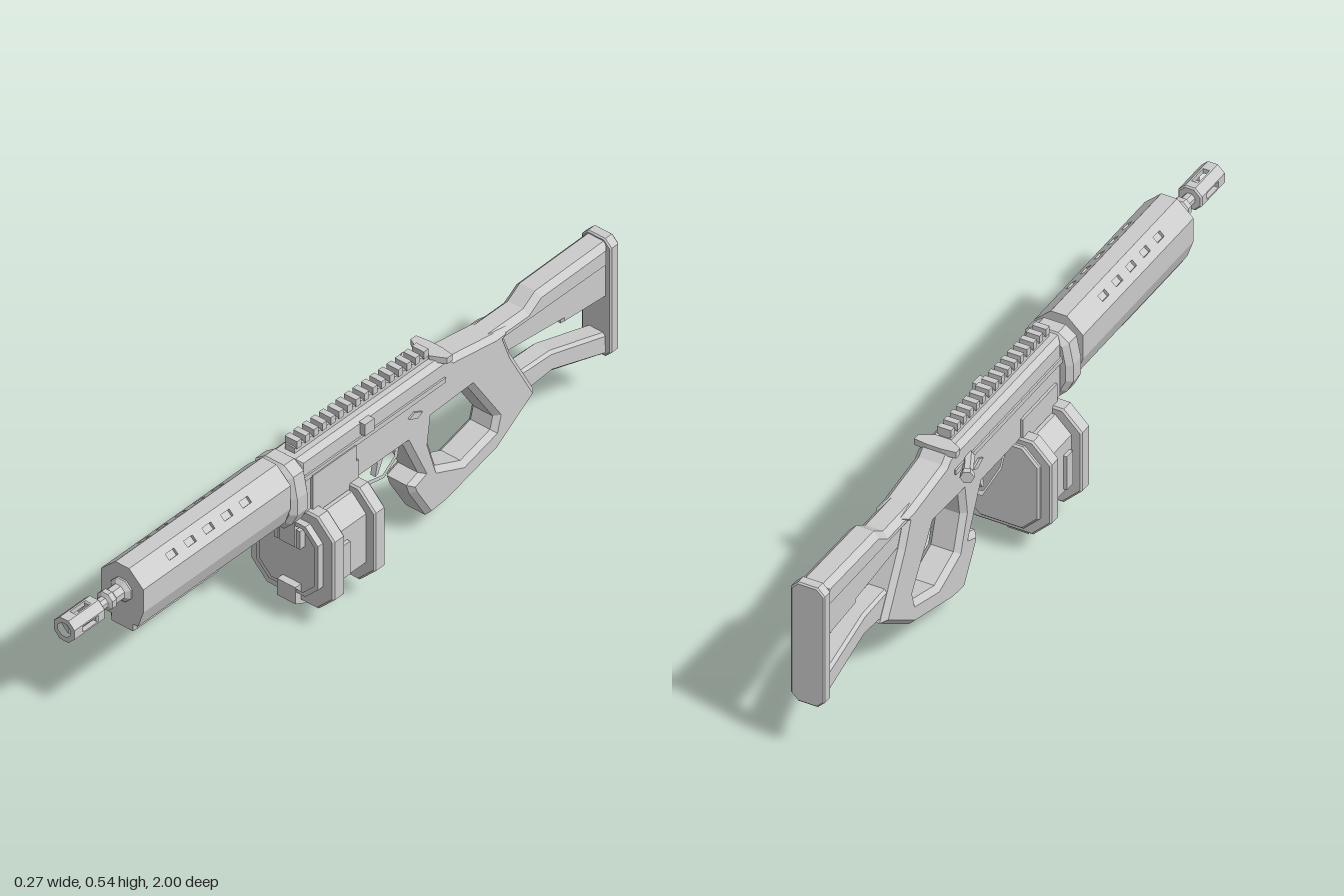
import * as THREE from 'three';

const material = new THREE.MeshStandardMaterial({ color: 0xcccccc, flatShading: true });

export function createModel() {
  const model = new THREE.Group();

  function add(name, geometry, parent = model) {
    const mesh = new THREE.Mesh(geometry, material);
    mesh.name = name;
    parent.add(mesh);
    return mesh;
  }
  function toShape(points, hole) {
    const shape = new THREE.Shape(points.map(p => new THREE.Vector2(p[0], p[1])));
    if (hole) shape.holes.push(new THREE.Path(hole.map(p => new THREE.Vector2(p[0], p[1]))));
    return shape;
  }
  function extrude(shape, depth, bevel = 0) {
    return new THREE.ExtrudeGeometry(shape, {
      depth: depth - 2 * bevel, bevelEnabled: bevel > 0, bevelThickness: bevel,
      bevelSize: bevel, bevelOffset: -bevel, bevelSegments: 1,
    }).translate(0, 0, bevel);
  }
  // Side outline in [z, y], given thickness across x
  function side(name, points, half, bevel = 0, hole) {
    const g = extrude(toShape(points, hole), half * 2, bevel);
    return add(name, g.translate(0, 0, -half).rotateY(-Math.PI / 2));
  }
  // Cross-section in [x, y] swept along z
  function section(name, points, z0, z1, bevel = 0, hole) {
    return add(name, extrude(toShape(points, hole), z1 - z0, bevel).translate(0, 0, z0));
  }
  const mirrored = pts => [...pts, ...pts.slice().reverse().map(([x, y]) => [-x, y])];
  const octagon = (h, y0, y1, c) =>
    mirrored([[h - c, y1], [h, y1 - c], [h, y0 + c], [h - c, y0]]);
  function box(name, w, h, d, x, y, z, parent) {
    return add(name, new THREE.BoxGeometry(w, h, d).translate(x, y, z), parent);
  }
  function mirrorX(mesh) {
    const copy = mesh.clone();
    copy.applyMatrix4(new THREE.Matrix4().makeScale(-1, 1, 1));
    model.add(copy);
  }

  // Barrel: stepped octagonal profile [radius, z]
  const barrel = [[0, 0.2], [0.034, 0.2], [0.034, 0.79], [0.022, 0.80], [0.022, 0.83],
    [0.027, 0.835], [0.027, 0.85], [0.016, 0.855], [0.016, 0.89], [0, 0.89]];
  add('barrel', new THREE.LatheGeometry(barrel.map(p => new THREE.Vector2(...p)), 8, Math.PI / 8)
    .rotateX(Math.PI / 2).scale(-1, -1, 1).translate(0, 0.45, 0));

  // Muzzle brake: two rings joined by four corner bars leaving side slots
  const R = 0.033, T = R * Math.tan(Math.PI / 8), bore = 0.019;
  const ring = r => octagon(r, 0.45 - r, 0.45 + r, r - r * Math.tan(Math.PI / 8));
  section('muzzleRearRing', ring(R), 0.885, 0.915, 0.004);
  section('muzzleFrontRing', ring(R), 0.968, 1.0, 0, ring(bore));
  for (let i = 0; i < 4; i++) {
    const bar = toShape([[R, 0.009], [R, T], [T, R], [0.009, R], [0.009, bore], [bore, 0.009]]);
    add('muzzleBar', extrude(bar, 0.06).rotateZ(i * Math.PI / 2).translate(0, 0.45, 0.911));
  }

  // Handguard core, recessed behind the vented upper panels
  section('handguard', mirrored([[0.022, 0.522], [0.022, 0.510], [0.055, 0.48], [0.067, 0.48],
    [0.067, 0.41], [0.05, 0.36]]), 0.24, 0.785);
  const vent = new THREE.Shape();
  const L = 0.2725, H = 0.031;
  [[-L, -H], [L, -H], [L, H], [-L, H]].forEach(([x, y], i) => i ? vent.lineTo(x, y) : vent.moveTo(x, y));
  for (let i = -2; i <= 2; i++) {
    const c = i * 0.068 - 0.005;
    vent.holes.push(new THREE.Path([[c - 0.016, -0.009], [c + 0.016, -0.009], [c + 0.016, 0.009],
      [c - 0.016, 0.009]].map(p => new THREE.Vector2(...p))));
  }
  const up = new THREE.Vector3(-0.045, 0.042, 0).normalize();
  const out = new THREE.Vector3(up.y, -up.x, 0);
  const panel = add('ventPanel', extrude(vent, 0.01).translate(0, 0, -0.01).applyMatrix4(
    new THREE.Matrix4().makeBasis(new THREE.Vector3(0, 0, -1), up, out).setPosition(0.0445, 0.501, 0.5125)));
  mirrorX(panel);
  side('lowerHandguard', [[0.785, 0.37], [0.785, 0.338], [0.48, 0.338], [0.45, 0.36], [0.45, 0.37]], 0.042, 0.008);

  // Collar between handguard and receiver
  section('collar', mirrored([[0.03, 0.512], [0.06, 0.49], [0.072, 0.43], [0.072, 0.38],
    [0.055, 0.345], [0.03, 0.32]]), 0.17, 0.235, 0.014);

  // Receiver and thumbhole grip in one outline
  side('receiverAndGrip', [[0.18, 0.508], [-0.375, 0.508], [-0.395, 0.49], [-0.55, 0.465], [-0.60, 0.46],
    [-0.585, 0.44], [-0.61, 0.375], [-0.70, 0.21], [-0.555, 0.115], [-0.365, 0.065], [-0.30, 0.06],
    [-0.24, 0.16], [-0.23, 0.19], [-0.272, 0.205], [-0.215, 0.325], [0.18, 0.325]], 0.045, 0.014,
    [[-0.315, 0.355], [-0.455, 0.36], [-0.55, 0.215], [-0.54, 0.18], [-0.43, 0.15],
      [-0.335, 0.19], [-0.305, 0.285]]);
  box('ejectionCover', 0.014, 0.055, 0.16, 0.046, 0.417, 0.06);
  box('shellDeflector', 0.03, 0.035, 0.035, 0.046, 0.48, -0.06);
  mirrorX(box('sideRidge', 0.01, 0.014, 0.53, 0.045, 0.447, -0.09));
  mirrorX(side('selector', [[-0.22, 0.405], [-0.24, 0.415], [-0.27, 0.40], [-0.25, 0.39]], 0.05));

  // Top rail with teeth
  box('railBase', 0.03, 0.02, 0.49, 0, 0.515, -0.08);
  for (let i = 0; i < 16; i++) box('railTooth', 0.038, 0.022, 0.017, 0, 0.532, 0.152 - i * 0.0313);

  // Charging handle and angled bolt knob
  add('chargingHandle', extrude(toShape(mirrored([[0.02, -0.33], [0.058, -0.35], [0.058, -0.37],
    [0.02, -0.375]])), 0.018).rotateX(Math.PI / 2).scale(1, 1, 1).translate(0, 0.52, 0));
  box('handleStem', 0.03, 0.014, 0.08, 0, 0.51, -0.32);
  const knob = new THREE.Group();
  knob.name = 'boltKnob';
  add('knobStem', new THREE.CylinderGeometry(0.012, 0.016, 0.08, 6), knob);
  add('knobCap', new THREE.CylinderGeometry(0.018, 0.018, 0.018, 6).translate(0, 0.04, 0), knob);
  knob.position.set(-0.06, 0.446, -0.315);
  knob.quaternion.setFromUnitVectors(new THREE.Vector3(0, 1, 0), new THREE.Vector3(-0.45, 0, -0.89).normalize());
  model.add(knob);

  // Stock
  side('stockTube', [[-0.53, 0.467], [-0.67, 0.467], [-0.715, 0.496], [-0.975, 0.50], [-0.975, 0.425],
    [-0.53, 0.425]], 0.04, 0.016);
  side('stockWeb', [[-0.57, 0.445], [-0.975, 0.445], [-0.975, 0.33], [-0.81, 0.342], [-0.81, 0.353],
    [-0.58, 0.377]], 0.03, 0.006);
  side('stockStrut', [[-0.64, 0.285], [-0.77, 0.282], [-0.975, 0.22], [-0.975, 0.155], [-0.77, 0.22],
    [-0.67, 0.212]], 0.03, 0.008);
  section('buttPad', octagon(0.047, 0.15, 0.507, 0.02), -1.0, -0.968, 0.004);

  // Trigger and guard
  side('triggerGuard', [[-0.035, 0.335], [-0.07, 0.262], [-0.165, 0.243], [-0.215, 0.28], [-0.225, 0.335]],
    0.016, 0, [[-0.05, 0.327], [-0.08, 0.273], [-0.16, 0.255], [-0.203, 0.287], [-0.21, 0.327]]);
  side('trigger', [[-0.14, 0.33], [-0.15, 0.29], [-0.142, 0.255], [-0.152, 0.257], [-0.168, 0.29],
    [-0.17, 0.33]], 0.008);

  // Magazine well and drum magazine
  box('magazineWell', 0.104, 0.07, 0.17, 0, 0.36, 0.055);
  box('magazineNeck', 0.08, 0.09, 0.17, 0, 0.32, 0.062);
  section('drumBody', octagon(0.105, 0.085, 0.322, 0.045), -0.02, 0.155);
  for (const [z0, z1] of [[0.115, 0.157], [-0.035, 0.005]])
    section('drumFlange', octagon(0.133, 0.063, 0.342, 0.052), z0, z1, 0.005);
  section('drumFrontRim', octagon(0.098, 0.1, 0.312, 0.04), 0.155, 0.175, 0, octagon(0.086, 0.11, 0.3, 0.036));
  section('drumBackPlate', octagon(0.105, 0.08, 0.325, 0.045), -0.046, -0.03, 0.005);
  mirrorX(box('drumRib', 0.02, 0.1, 0.03, 0.105, 0.19, 0.09));
  box('feedBlock', 0.05, 0.09, 0.022, 0, 0.28, 0.165);
  mirrorX(box('feedSide', 0.012, 0.055, 0.02, 0.035, 0.262, 0.165));
  side('drumFoot', [[0.178, 0.115], [0.178, 0.065], [0.04, 0.0], [0.008, 0.07], [0.008, 0.115]], 0.029);

  return model;
}
